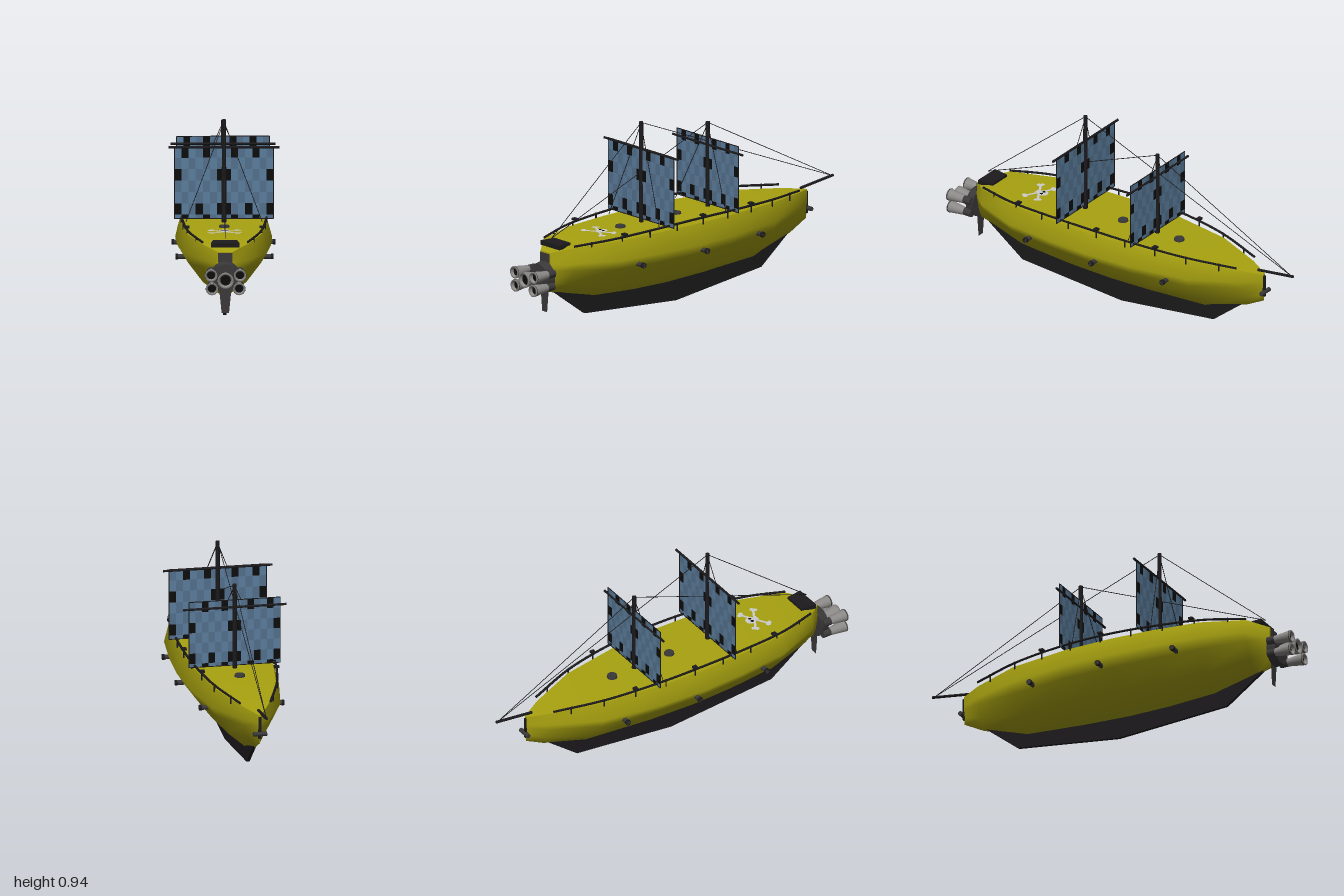
import * as THREE from 'three';
import { mergeGeometries } from 'three/addons/utils/BufferGeometryUtils.js';

const mat = (color) => new THREE.MeshStandardMaterial({ color, side: THREE.DoubleSide });
const yellow = mat(0xa8a210), black = mat(0x1c1a1c), iron = mat(0x3a3838), steel = mat(0x8c8a88);
const blueA = mat(0x5b7d9c), blueB = mat(0x52708c), ink = mat(0x0c0c0c), white = mat(0xdddddd);
const V = (x, y, z) => new THREE.Vector3(x, y, z);

// Hull stations: z, half width, deck height, bottom height
const STATIONS = [
  [0.86, 0.04, 0.4, 0.2], [0.77, 0.13, 0.425, 0.175], [0.55, 0.205, 0.432, 0.12],
  [0.3, 0.228, 0.435, 0.103], [0.08, 0.235, 0.435, 0.098], [-0.17, 0.222, 0.434, 0.105],
  [-0.48, 0.17, 0.428, 0.122], [-0.72, 0.07, 0.412, 0.2], [-0.825, 0.008, 0.4, 0.255],
];
// Cross-section, as fractions of half width and height
const SECTION = [[0.88, 1], [1, 0.7], [0.86, 0.545], [0.51, 0.24], [0, 0]];

function section([z, w, top, bot]) {
  const half = SECTION.map(([fx, fy]) => V(fx * w, bot + fy * (top - bot), z));
  return [...half, ...half.slice(0, -1).reverse().map((p) => V(-p.x, p.y, z))];
}

// Skin over a list of equally long rows of points
function loft(rows) {
  const n = rows[0].length, index = [];
  for (let i = 0; i < rows.length - 1; i++)
    for (let j = 0; j < n - 1; j++) {
      const a = i * n + j, b = a + n;
      index.push(a, a + 1, b, a + 1, b + 1, b);
    }
  const g = new THREE.BufferGeometry().setFromPoints(rows.flat());
  g.setIndex(index);
  g.computeVertexNormals();
  return g;
}

export function createModel() {
  const model = new THREE.Group();
  model.name = 'flyingShip';
  const add = (name, geo, material, x = 0, y = 0, z = 0, parent = model) => {
    const m = new THREE.Mesh(geo, material);
    m.name = name;
    m.position.set(x, y, z);
    parent.add(m);
    return m;
  };
  // Straight round bar between two points
  const rod = (name, a, b, r, material = black, sides = 8, r2 = r) => {
    const m = add(name, new THREE.CylinderGeometry(r2, r, a.distanceTo(b), sides), material);
    m.position.copy(a).lerp(b, 0.5);
    m.quaternion.setFromUnitVectors(V(0, 1, 0), b.clone().sub(a).normalize());
    return m;
  };

  // Hull, deck and end caps
  const rows = STATIONS.map(section);
  add('hull', loft(rows), yellow);
  add('deck', loft(rows.map((r) => [r[r.length - 1], r[0]])), yellow);
  for (const [name, r] of [['transom', rows[0]], ['stem', rows[rows.length - 1]]])
    add(name, new THREE.ShapeGeometry(new THREE.Shape(r.map((p) => new THREE.Vector2(p.x, p.y)))), yellow, 0, 0, r[0].z);

  // Thin keel
  const keel = new THREE.Shape([[0.81, 0.19], [0.61, 0.045], [0.02, 0], [-0.53, 0.065], [-0.7, 0.2],
    [-0.5, 0.14], [0, 0.13], [0.5, 0.14]].map((p) => new THREE.Vector2(...p)));
  add('keel', new THREE.ExtrudeGeometry(keel, { depth: 0.015, bevelEnabled: false })
    .rotateY(-Math.PI / 2).translate(0.0075, 0, 0), black);

  // Stern plate reaching down as a rudder
  const plate = new THREE.Shape([[-0.036, 0.395], [-0.028, 0.2], [-0.018, 0.1], [0.018, 0.1], [0.028, 0.2], [0.036, 0.395]]
    .map((p) => new THREE.Vector2(...p)));
  add('rudder', new THREE.ShapeGeometry(plate), iron, 0, 0, 0.864);

  // Engine block with five flared nozzles
  rod('engineBlock', V(0, 0.28, 0.862), V(0, 0.28, 0.905), 0.075, iron, 20, 0.068);
  const nozzleProfile = [[0.018, 0], [0.022, 0.03], [0.03, 0.095], [0.03, 0.1], [0.022, 0.1], [0.015, 0.05], [0, 0.05]]
    .map((p) => new THREE.Vector2(...p));
  const nozzleGeo = new THREE.LatheGeometry(nozzleProfile, 16).rotateX(Math.PI / 2);
  for (const [x, y, s] of [[0, 0.283, 1.3], [0.07, 0.308, 1], [-0.07, 0.308, 1], [0.066, 0.242, 1], [-0.066, 0.242, 1]]) {
    add('nozzle', nozzleGeo, steel, x, y, 0.9).scale.set(s, s, 1);
    add('nozzleThroat', new THREE.CircleGeometry(0.0205 * s, 16), ink, x, y, 0.985);
    add('nozzleRim', new THREE.TorusGeometry(0.027 * s, 0.004, 6, 16), iron, x, y, 0.995);
    if (x) rod('nozzleMount', V(x, y, 0.868), V(x, y, 0.91), 0.02, iron, 12);
  }

  // Stern hatch box, wider aft
  const box = new THREE.BoxGeometry(0.14, 0.022, 0.08);
  const bp = box.attributes.position;
  for (let i = 0; i < bp.count; i++) if (bp.getZ(i) < 0) bp.setX(i, bp.getX(i) * 0.84);
  add('sternBox', box, black, 0, 0.427, 0.79);

  // Round deck hatches
  for (const z of [-0.32, 0.015, 0.375])
    add('deckHatch', new THREE.CylinderGeometry(0.024, 0.026, 0.012, 20), iron, 0, 0.438, z);

  // Skull and crossed bones painted on the deck
  const emblem = new THREE.Group();
  emblem.name = 'deckEmblem';
  emblem.position.set(0, 0.437, 0.515);
  model.add(emblem);
  const disc = (r) => new THREE.CircleGeometry(r, 14).rotateX(-Math.PI / 2);
  for (const s of [-1, 1]) {
    add('bone', new THREE.BoxGeometry(0.15, 0.001, 0.012), white, 0, 0, 0, emblem).rotation.y = s * 0.52;
    for (const t of [-1, 1]) {
      add('boneEnd', disc(0.012), white, s * 0.072, 0.001, t * 0.033, emblem);
      add('boneEnd', disc(0.012), white, s * 0.062, 0.001, t * 0.045, emblem);
    }
    add('eye', disc(0.008), ink, s * 0.011, 0.004, -0.02, emblem);
  }
  add('skull', disc(0.027), white, 0, 0.002, -0.022, emblem);
  add('jaw', new THREE.BoxGeometry(0.028, 0.001, 0.024), white, 0, 0.002, 0.006, emblem);

  // Rails, posts, cleats and guns on both sides
  for (const s of [-1, 1]) {
    const rail = new THREE.CatmullRomCurve3([[0.11, 0.432, 0.77], [0.172, 0.445, 0.57], [0.2, 0.455, 0.33], [0.21, 0.461, 0.08],
      [0.2, 0.458, -0.17], [0.157, 0.446, -0.46], [0.075, 0.428, -0.715]].map(([x, y, z]) => V(s * x, y, z)));
    add('rail', new THREE.TubeGeometry(rail, 40, 0.006, 6), black);
    for (let i = 0; i < 9; i++) {
      const p = rail.getPointAt(0.06 + i * 0.11);
      rod('railPost', V(p.x, p.y - 0.035, p.z), V(p.x, p.y + 0.006, p.z), 0.004, black, 6);
    }
    for (const t of [0.18, 0.5, 0.72]) {
      const p = rail.getPointAt(t);
      add('cleat', new THREE.BoxGeometry(0.026, 0.01, 0.022), black, p.x, p.y + 0.012, p.z);
    }
    for (const [x, z] of [[0.238, 0.43], [0.252, 0.03], [0.21, -0.365]]) {
      rod('gun', V(s * (x - 0.07), 0.3, z), V(s * x, 0.3, z), 0.012, iron, 12);
      rod('gunRing', V(s * (x - 0.012), 0.3, z), V(s * x, 0.3, z), 0.014, black, 12);
    }
    rod('bowGun', V(0, 0.305, -0.832), V(s * 0.034, 0.305, -0.832), 0.011, iron, 10);
  }
  add('bowPost', new THREE.BoxGeometry(0.014, 0.11, 0.014), black, 0, 0.335, -0.826);
  rod('bowsprit', V(0, 0.412, -0.79), V(0, 0.438, -1), 0.007);

  // Masts with checked square sails
  const masts = [
    { z: 0.24, top: 0.94, yard: 0.803, reach: 0.27, w: 0.24, y0: 0.452, y1: 0.808 },
    { z: -0.19, top: 0.86, yard: 0.743, reach: 0.255, w: 0.225, y0: 0.447, y1: 0.78 },
  ];
  const dark = ['1,0', '4,0', '0,2', '6,2', '0,5', '3,5', '6,5'];
  for (const { z, top, yard, reach, w, y0, y1 } of masts) {
    rod('mast', V(0, 0.42, z), V(0, top, z), 0.012, black, 12, 0.01);
    rod('yard', V(-reach, yard, z), V(reach, yard, z), 0.006);
    const cw = w / 7, ch = (y1 - y0) / 6.35, cells = [[], [], []];
    for (let c = 0; c < 14; c++)
      for (let r = 0; r < 7; r++) {
        const h = r < 6 ? ch : ch * 0.35, col = c % 7;
        const kind = dark.includes(`${col},${r % 6}`) ? 2 : (c + r) % 2;
        cells[kind].push(new THREE.PlaneGeometry(cw, h).translate(-w + (c + 0.5) * cw, y1 - r * ch - h / 2, z));
      }
    cells.forEach((list, k) => add('sailCloth', mergeGeometries(list), [blueA, blueB, ink][k]));
    for (const y of [y0, y1]) rod('sailHem', V(-w, y, z), V(w, y, z), 0.0025, black, 5);
    for (const s of [-1, 1]) {
      rod('sailEdge', V(s * w, y0, z), V(s * w, y1, z), 0.0025, black, 5);
      rod('shroud', V(0, top - 0.01, z), V(s * 0.185, 0.445, z + 0.045), 0.0018, black, 5);
    }
    rod('aftStay', V(0, top - 0.005, z), V(0, 0.46, 0.82), 0.0018, black, 5);
    rod('foreStay', V(0, top - 0.005, z), V(0, 0.438, -0.99), 0.0018, black, 5);
  }
  return model;
}
